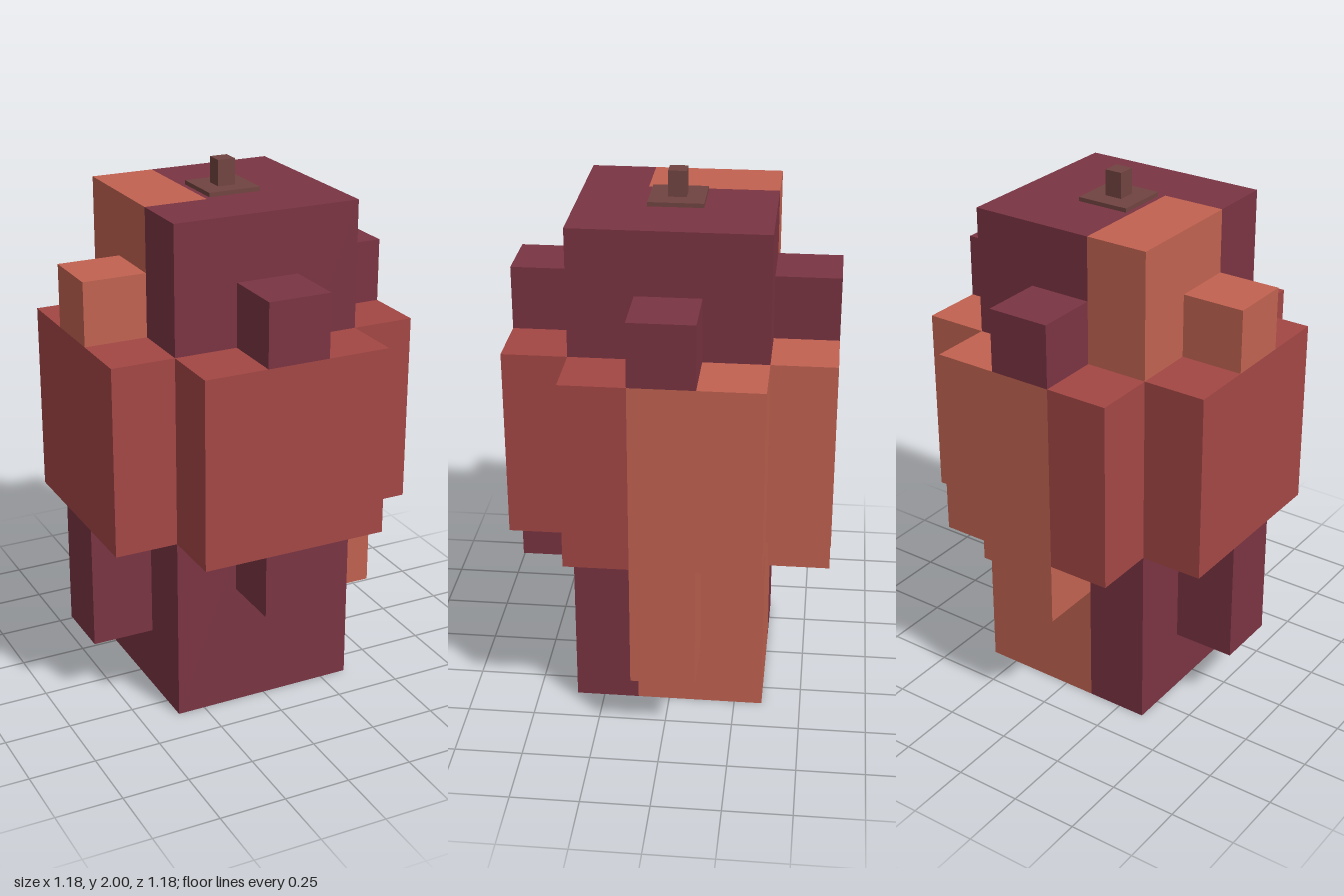
import * as THREE from 'three';

const CELL = 0.2362; // the body sits on a grid of cubes this size

const material = (name, color) => {
  const m = new THREE.MeshStandardMaterial({ color });
  m.name = name;
  return m;
};

export function createModel() {
  const plum = material('plum', 0x7a3442);
  const red = material('brick red', 0xa34745);
  const orange = material('terracotta', 0xc16250);
  const brown = material('stem brown', 0x704440);

  const model = new THREE.Group();
  model.name = 'blockyFruit';

  // Box between two corners, in units of scale
  const block = (name, mat, [x0, x1], [y0, y1], [z0, z1], scale = CELL) => {
    const geo = new THREE.BoxGeometry((x1 - x0) * scale, (y1 - y0) * scale, (z1 - z0) * scale);
    const mesh = new THREE.Mesh(geo, mat);
    mesh.position.set((x0 + x1) / 2, (y0 + y1) / 2, (z0 + z1) / 2).multiplyScalar(scale);
    mesh.name = name;
    model.add(mesh);
  };

  const full = [-1.5, 1.5], mid = [-0.5, 0.5];
  const plus = [1.5, 2.5], minus = [-2.5, -1.5];

  // Core: a front strip, and two rear pieces whose colours swap halfway up
  block('coreFront', plum, full, [0, 8], [0.5, 1.5]);
  block('coreLowerBackRight', plum, [-1.5, -0.5], [0, 4], [-1.5, 0.5]);
  block('coreLowerBackLeft', orange, [-0.5, 1.5], [0, 4], [-1.5, 0.5]);
  block('coreUpperBackRight', orange, [-1.5, -0.5], [4, 8], [-1.5, 0.5]);
  block('coreUpperBackLeft', plum, [-0.5, 1.5], [4, 8], [-1.5, 0.5]);

  // Bulging slabs on the four sides
  const belly = [3, 6];
  block('frontSlab', red, full, belly, plus);
  block('rightSlab', red, minus, belly, full);
  block('leftSlabFront', red, plus, belly, [0.5, 1.5]);
  block('leftSlabBack', orange, plus, belly, [-1.5, 0.5]);
  block('backSlabRight', red, [-1.5, -0.5], belly, minus);
  block('backSlabLeft', orange, [-0.5, 1.5], belly, minus);

  // Small tabs above and below each slab
  const tabs = [
    ['front', mid, plus, 2, plum, plum],
    ['back', mid, minus, 2, plum, orange],
    ['left', plus, mid, 1, plum, orange],
    ['right', minus, mid, 1, orange, plum],
  ];
  for (const [side, x, z, bottom, upper, lower] of tabs) {
    block(side + 'UpperTab', upper, x, [6, 7], z);
    block(side + 'LowerTab', lower, x, [bottom, 3], z);
  }

  // Stem on a thin square plate
  const top = 8 * CELL;
  block('stemPlate', brown, [-0.1, 0.1], [top, 1.905], [-0.1, 0.1], 1);
  block('stem', brown, [-0.033, 0.033], [1.905, 2], [-0.033, 0.033], 1);

  return model;
}
